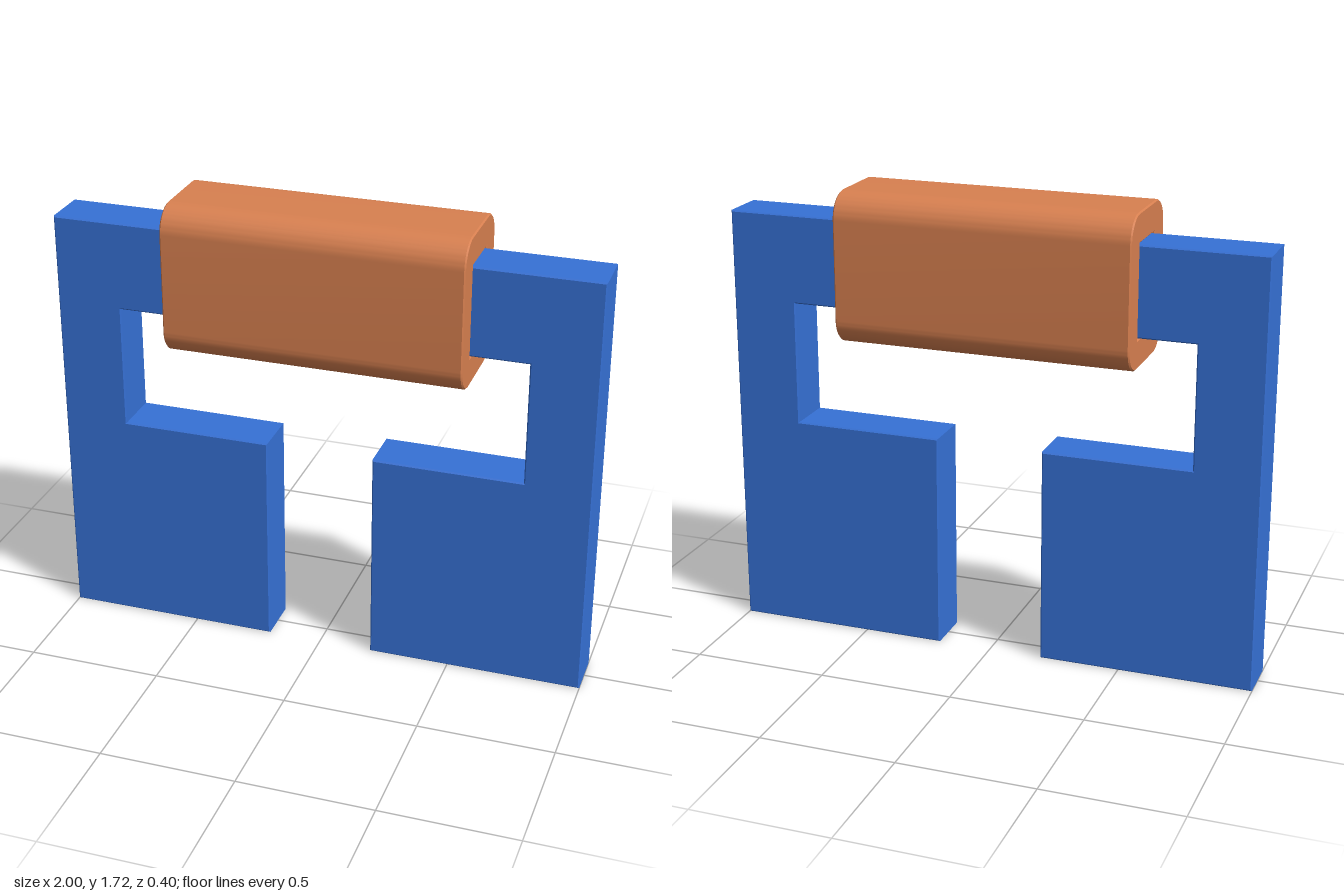
import * as THREE from 'three';
import { toCreasedNormals } from 'three/addons/utils/BufferGeometryUtils.js';

const BEVEL = 0.005;

// Extrude a shape to a centred total depth with a tiny edge bevel
function extrudeCentred(shape, depth) {
  const geometry = new THREE.ExtrudeGeometry(shape, {
    depth: depth - 2 * BEVEL,
    bevelEnabled: true,
    bevelThickness: BEVEL,
    bevelSize: BEVEL,
    bevelOffset: -BEVEL,
    bevelSegments: 1,
    curveSegments: 10,
  });
  geometry.translate(0, 0, -depth / 2 + BEVEL);
  return toCreasedNormals(geometry, 0.5);
}

// Trace a rounded rectangle centred on x = 0
function roundedRect(path, halfWidth, bottom, top, r) {
  path.moveTo(halfWidth - r, bottom);
  path.absarc(halfWidth - r, bottom + r, r, -Math.PI / 2, 0);
  path.absarc(halfWidth - r, top - r, r, 0, Math.PI / 2);
  path.absarc(-halfWidth + r, top - r, r, Math.PI / 2, Math.PI);
  path.absarc(-halfWidth + r, bottom + r, r, Math.PI, Math.PI * 1.5);
  path.closePath();
  return path;
}

export function createModel() {
  const group = new THREE.Group();
  group.name = 'gappedCoreWithCoil';

  // Core: right half outline, mirrored to close the gapped frame
  const half = [[0.2, 0], [1, 0], [1, 1.6], [-1, 1.6], [-1, 0], [-0.2, 0]];
  const inner = [[0.2, 0.812], [0.755, 0.812], [0.755, 1.27]];
  const outline = [
    ...half,
    ...inner.map(([x, y]) => [-x, y]),
    ...inner.slice().reverse(),
  ].map(([x, y]) => new THREE.Vector2(x, y));
  const core = new THREE.Mesh(
    extrudeCentred(new THREE.Shape(outline), 0.185),
    new THREE.MeshStandardMaterial({ color: 0x3671d6 })
  );
  core.name = 'core';
  group.add(core);

  // Coil: rounded sleeve around the top bar, with a slot for the core
  const sleeve = roundedRect(new THREE.Shape(), 0.2, 1.16, 1.715, 0.095);
  sleeve.holes.push(new THREE.Path([
    [-0.097, 1.266], [-0.097, 1.606], [0.097, 1.606], [0.097, 1.266],
  ].map(([x, y]) => new THREE.Vector2(x, y))));
  const coil = new THREE.Mesh(
    extrudeCentred(sleeve, 1.092),
    new THREE.MeshStandardMaterial({ color: 0xd88050 })
  );
  coil.name = 'coil';
  coil.rotation.y = Math.PI / 2;
  group.add(coil);

  return group;
}
